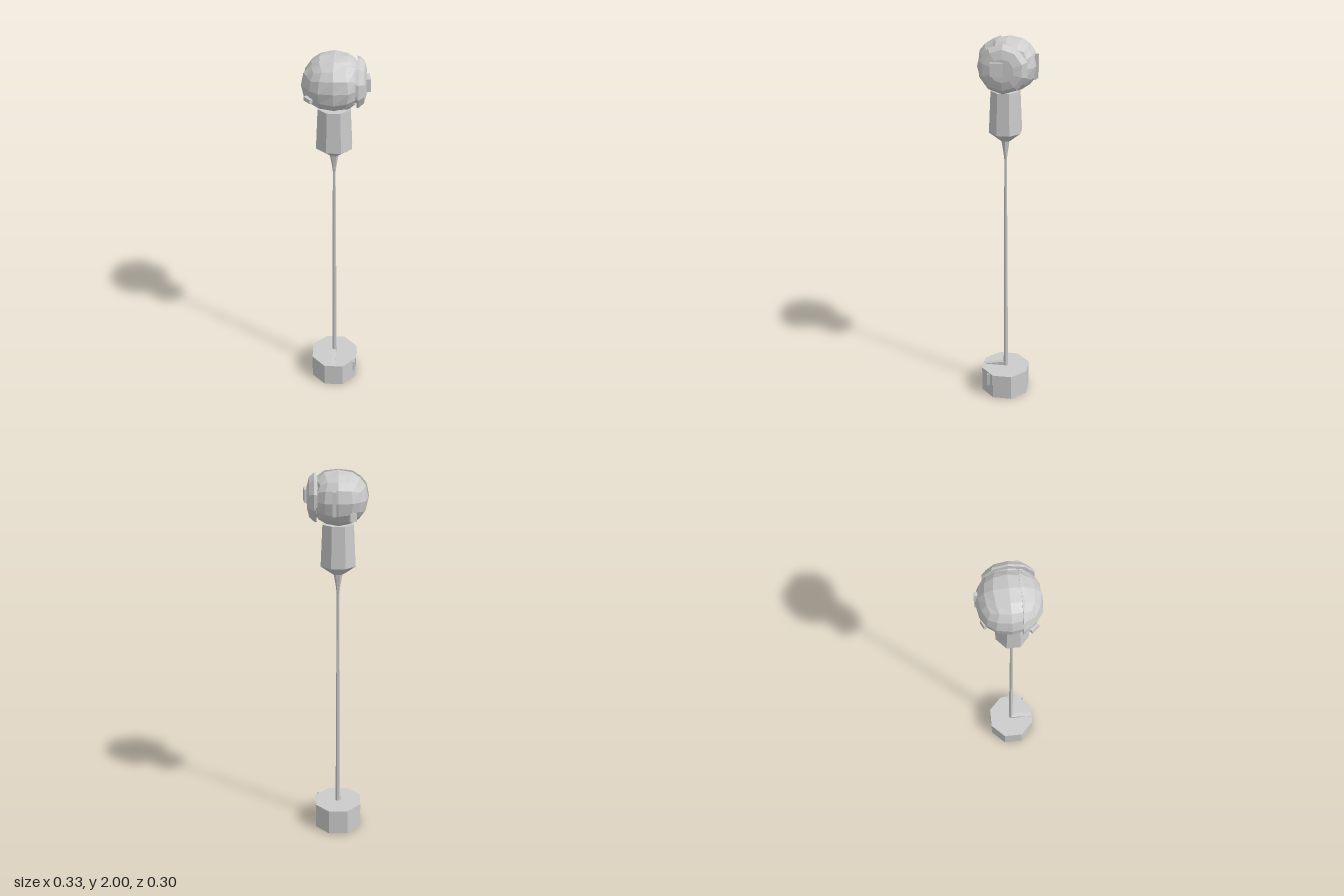
import * as THREE from 'three';

const MAT = new THREE.MeshStandardMaterial({ color: 0xcccccc, flatShading: true, side: THREE.DoubleSide });
const CX = -0.01, CZ = 0.013; // axis of stand and handle
const HEAD_Y = 1.866;

function part(group, name, geometry, x = 0, y = 0, z = 0) {
  const mesh = new THREE.Mesh(geometry, MAT);
  mesh.name = name;
  mesh.position.set(x, y, z);
  group.add(mesh);
  return mesh;
}

// Faceted turned part with a flat side facing forward
function turned(points, sides) {
  const g = new THREE.LatheGeometry(points.map(([r, y]) => new THREE.Vector2(r, y)), sides);
  return g.rotateY(Math.PI / sides);
}

// Low-poly ball made from a cube, flattened where it meets the given limits
function facetedBall(rx, ry, rz, min, max) {
  const g = new THREE.BoxGeometry(2, 2, 2, 4, 4, 4);
  const p = g.attributes.position, v = new THREE.Vector3();
  const lo = new THREE.Vector3(...min), hi = new THREE.Vector3(...max);
  for (let i = 0; i < p.count; i++) {
    v.fromBufferAttribute(p, i).normalize();
    v.multiply(new THREE.Vector3(rx, ry, rz)).clamp(lo, hi);
    p.setXYZ(i, v.x, v.y, v.z);
  }
  return g;
}

export function createModel() {
  const model = new THREE.Group();
  model.name = 'microphoneStand';

  // Octagonal foot with a hollow underside
  part(model, 'base', turned([
    [0.02, 0.09], [0.105, 0.0], [0.135, 0.0], [0.135, 0.142], [0, 0.142],
  ], 8), CX, 0, 0.015);
  part(model, 'basePlate', new THREE.BoxGeometry(0.012, 0.06, 0.1), 0.11, 0.113, 0.02);
  for (const z of [-0.03, 0.095])
    part(model, 'baseRib', new THREE.BoxGeometry(0.012, 0.07, 0.012), 0.102, 0.107, z);

  // Sloping wedge on top of the foot, in front of the pole
  const wedge = new THREE.Shape([
    new THREE.Vector2(0, 0.135), new THREE.Vector2(0.125, 0.142), new THREE.Vector2(0, 0.166),
  ]);
  const wedgeGeo = new THREE.ExtrudeGeometry(wedge, { depth: 0.025, bevelEnabled: false });
  part(model, 'baseWedge', wedgeGeo.rotateY(-Math.PI / 2), CX + 0.01, 0, 0.015);

  // Slim tapering pole, its lower end showing inside the foot
  part(model, 'pole', turned([
    [0, 0.05], [0.014, 0.05], [0.013, 0.17], [0.007, 1.4], [0, 1.4],
  ], 6), CX, 0, CZ);

  // Flared neck and handle
  part(model, 'neck', turned([[0.007, 1.37], [0.012, 1.41], [0.024, 1.48], [0, 1.49]], 6), CX, 0, CZ);
  const handle = part(model, 'handle', turned([
    [0, 1.475], [0.03, 1.475], [0.095, 1.522], [0.084, 1.735], [0, 1.735],
  ], 8), CX, 0, CZ);
  handle.scale.z = 0.9;

  // Ball head: rear body, front shell and a separate side cap
  const head = new THREE.Group();
  head.name = 'head';
  head.position.set(CX, HEAD_Y, 0);
  model.add(head);
  part(head, 'headBody', facetedBall(0.151, 0.139, 0.152, [-0.147, -0.133, -0.148], [0.1, 0.133, 0.1]));
  part(head, 'headFront', facetedBall(0.157, 0.137, 0.158, [-0.153, -0.131, 0.05], [0.102, 0.131, 0.148]));

  const cap = turned([[0, 0], [0.122, 0], [0.122, 0.01], [0.1, 0.035], [0.058, 0.046], [0, 0.046]], 10);
  part(head, 'sideCap', cap.rotateZ(-Math.PI / 2), 0.107, 0, 0.008);
  part(head, 'sideHub', turned([[0, 0], [0.1, 0], [0.1, 0.03], [0, 0.03]], 10).rotateZ(-Math.PI / 2), 0.09, 0, 0.008);
  const button = part(head, 'sideButton', new THREE.BoxGeometry(0.03, 0.066, 0.062), 0.154, 0.008, 0.032);
  button.rotation.y = 0.12;

  // Small raised tabs around the head
  const tabs = [
    [-0.118, -0.05, 0.1, -0.85, 0.045, 0.02],
    [-0.068, -0.07, -0.118, Math.PI + 0.45, 0.035, 0.04],
    [0.02, 0.0, -0.143, Math.PI, 0.02, 0.12],
  ];
  for (const [x, y, z, turn, w, h] of tabs)
    part(head, 'tab', new THREE.BoxGeometry(w, h, 0.018), x, y, z).rotation.y = turn;

  return model;
}
